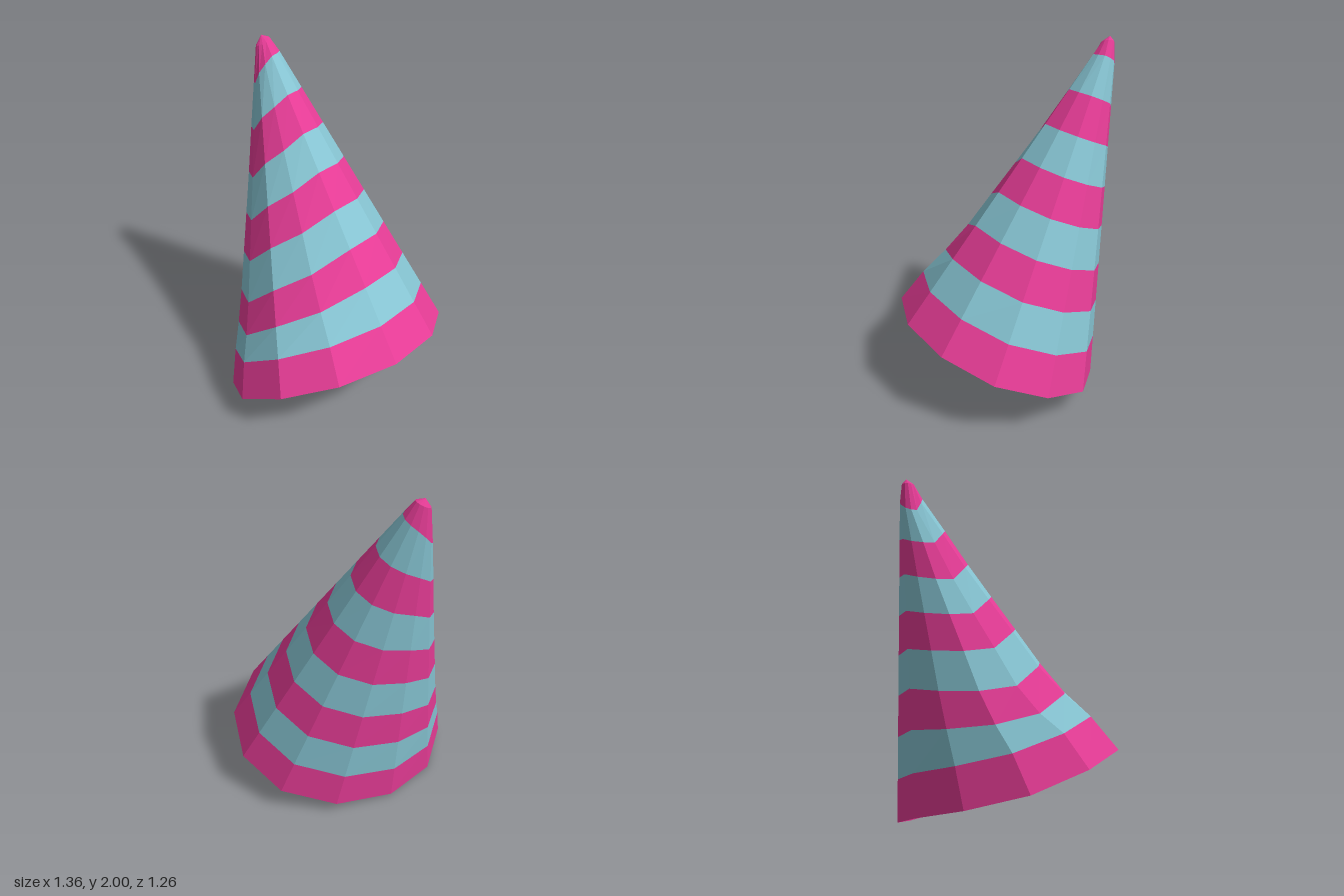
import * as THREE from 'three';

const SIDES = 12, RINGS = 8;
// Heights around the open rim and around the ring below the tip (from the front, towards +x)
const rimY = [0.49, 0.465, 0.38, 0.28, 0.17, 0.085, 0.03, 0.005, 0.05, 0.19, 0.36, 0.46];
const neckY = [1.91, 1.915, 1.915, 1.9, 1.88, 1.85, 1.81, 1.77, 1.75, 1.75, 1.82, 1.87];
// Soft dent in one side: strength per side, and how it varies up the cone
const dent = [0, 0, 0, 0, 0, 0, 0, 0.05, 0.1, 0.14, 0.1, 0.065];
const dentUp = [0, 0.08, 0.7, 1, 0.85, 0.75, 0.6, 0.25, 0];

// Point of the slanted cone on a given ring and side
function conePoint(ring, side) {
  const k = side % SIDES, a = (k / SIDES) * Math.PI * 2;
  const s = Math.sin(a), c = Math.cos(a);
  if (ring === RINGS + 2) return [0, 2, -0.605];
  if (ring === RINGS + 1) return [0.04 * s, 1.968 + 0.018 * s + 0.008 * c, -0.592 + 0.034 * c];
  const t = ring / RINGS, mix = THREE.MathUtils.lerp;
  return [
    mix(0.682, 0.08, t) * s,
    mix(rimY[k], neckY[k], t) - dent[k] * dentUp[ring],
    mix(0.0885, -0.565, t) + mix(0.5415, 0.06, t) * c,
  ];
}

// One band of faces between two neighbouring rings
function bandGeometry(ring) {
  const pos = [];
  for (let k = 0; k < SIDES; k++) {
    const a = conePoint(ring, k), b = conePoint(ring, k + 1);
    const c = conePoint(ring + 1, k + 1), d = conePoint(ring + 1, k);
    pos.push(...a, ...b, ...c);
    if (ring <= RINGS) pos.push(...a, ...c, ...d);
  }
  const g = new THREE.BufferGeometry();
  g.setAttribute('position', new THREE.Float32BufferAttribute(pos, 3));
  g.computeVertexNormals();
  return g;
}

export function createModel() {
  const group = new THREE.Group();
  group.name = 'partyHat';
  const material = (color) =>
    new THREE.MeshStandardMaterial({ color, flatShading: true, side: THREE.DoubleSide });
  const pink = material(0xe63c96), blue = material(0x86c4d2);

  // Alternating stripes, then the pink tip and its cap
  for (let i = 0; i <= RINGS + 1; i++) {
    const mesh = new THREE.Mesh(bandGeometry(i), i % 2 && i < RINGS ? blue : pink);
    mesh.name = i < RINGS ? `stripe${i + 1}` : i === RINGS ? 'tip' : 'tipCap';
    group.add(mesh);
  }
  return group;
}
